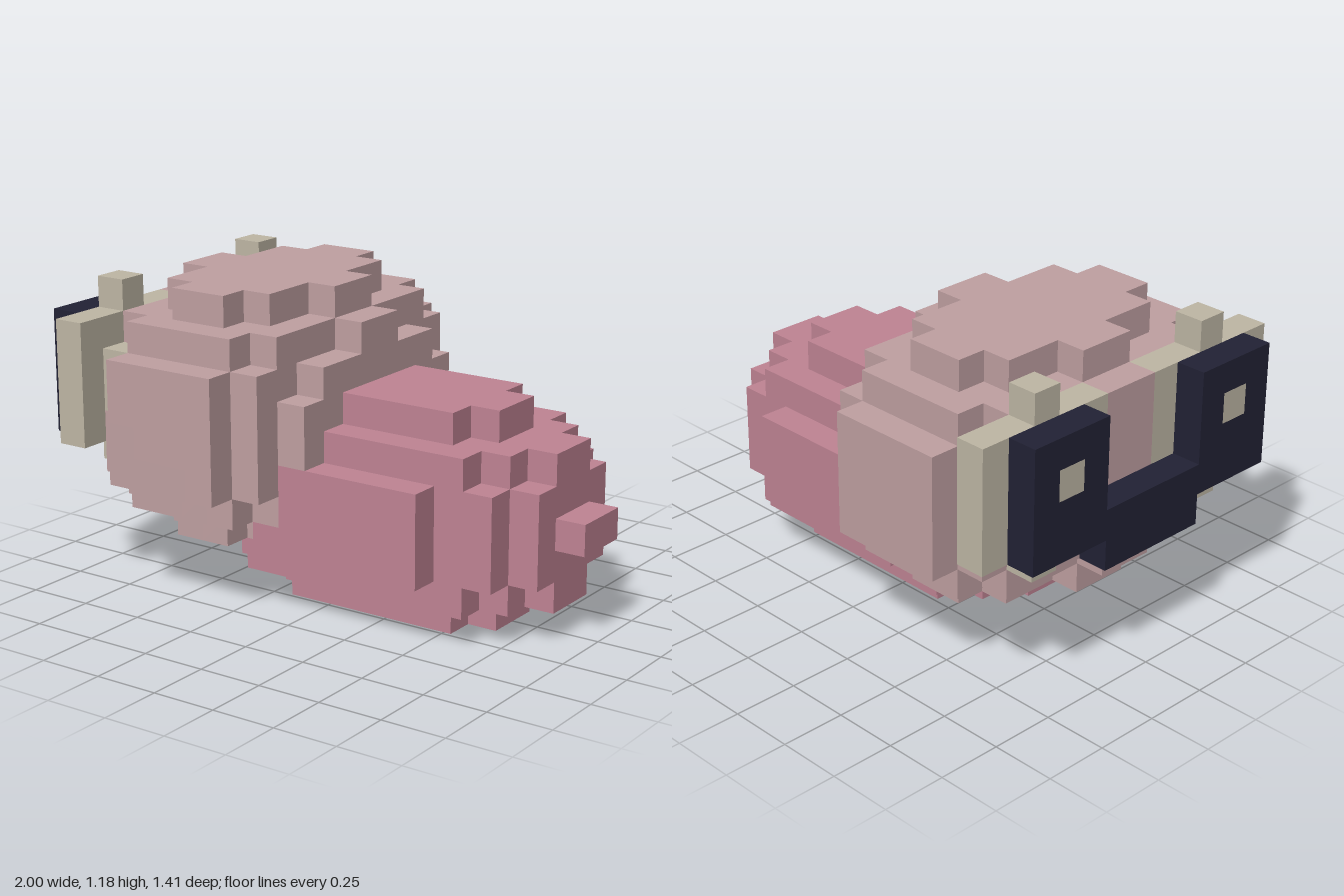
import * as THREE from 'three';

const U = 2 / 17; // edge of one block

// Block grid: x 0..16, y 0..9, z -6..5 (mirrored about z = 0)
const cells = new Map();
const key = (x, y, z) => `${x},${y},${z}`;

function fill(part, [x0, x1], [y0, y1], [z0, z1], inside = () => true) {
  for (let x = x0; x < x1; x++)
    for (let y = y0; y < y1; y++)
      for (let z = z0; z < z1; z++)
        if (inside(x + 0.5, y + 0.5, z + 0.5)) {
          cells.set(key(x, y, z), part);
          cells.set(key(x, y, -1 - z), part);
        }
}

// Outward normal with the two in-plane axes (a x b = n)
const FACES = [
  [[1, 0, 0], [0, 1, 0], [0, 0, 1]], [[-1, 0, 0], [0, 0, 1], [0, 1, 0]],
  [[0, 1, 0], [0, 0, 1], [1, 0, 0]], [[0, -1, 0], [1, 0, 0], [0, 0, 1]],
  [[0, 0, 1], [1, 0, 0], [0, 1, 0]], [[0, 0, -1], [0, 1, 0], [1, 0, 0]],
];

// Outer skin of all the blocks that belong to one part
function skin(part) {
  const pos = [], nor = [];
  for (const [k, p] of cells) {
    if (p !== part) continue;
    const c = k.split(',').map(Number);
    for (const [n, a, b] of FACES) {
      if (cells.has(key(c[0] + n[0], c[1] + n[1], c[2] + n[2]))) continue;
      for (const [s, t] of [[0, 0], [1, 0], [1, 1], [0, 0], [1, 1], [0, 1]]) {
        const v = c.map((q, i) => q + Math.max(n[i], 0) + s * a[i] + t * b[i]);
        pos.push(v[0] * U - 1, v[1] * U, v[2] * U);
        nor.push(...n);
      }
    }
  }
  const g = new THREE.BufferGeometry();
  g.setAttribute('position', new THREE.Float32BufferAttribute(pos, 3));
  g.setAttribute('normal', new THREE.Float32BufferAttribute(nor, 3));
  return g;
}

export function createModel() {
  cells.clear();

  // Long rounded abdomen with a pointed tail
  fill('abdomen', [3, 17], [0, 7], [0, 4], (x, y, z) =>
    0.022 * (x - 10) ** 2 + 0.077 * (y - 3.5) ** 2 + 0.0625 * z * z < 1);

  // Wide rounded head
  fill('head', [1, 9], [2, 10], [0, 6], (x, y, z) =>
    ((x - 5) ** 2 + (y - 6) ** 2) / 16 + (z * z) / 36 < 1.19);

  // Pale round eye rims
  fill('eyeRims', [1, 2], [5, 9], [1, 6]);
  fill('eyeRims', [1, 2], [4, 10], [3, 4]);
  fill('eyeRims', [2, 3], [6, 8], [3, 5]);

  // Dark eyes joined by a low bridge
  fill('eyes', [0, 1], [5, 9], [2, 5]);
  fill('eyes', [0, 1], [4, 6], [0, 2]);

  // Pale glint in each eye
  fill('eyeGlints', [0, 1], [7, 8], [3, 4]);

  const mat = (name, color) => {
    const m = new THREE.MeshStandardMaterial({ color });
    m.name = name;
    return m;
  };
  const beige = mat('beige', 0xbfb7a5);
  const parts = {
    abdomen: mat('rose', 0xc08494),
    head: mat('dustyPink', 0xc0a0a2),
    eyeRims: beige,
    eyes: mat('darkNavy', 0x222235),
    eyeGlints: beige,
  };

  const group = new THREE.Group();
  group.name = 'blockCreature';
  for (const [name, material] of Object.entries(parts)) {
    const mesh = new THREE.Mesh(skin(name), material);
    mesh.name = name;
    group.add(mesh);
  }
  return group;
}
